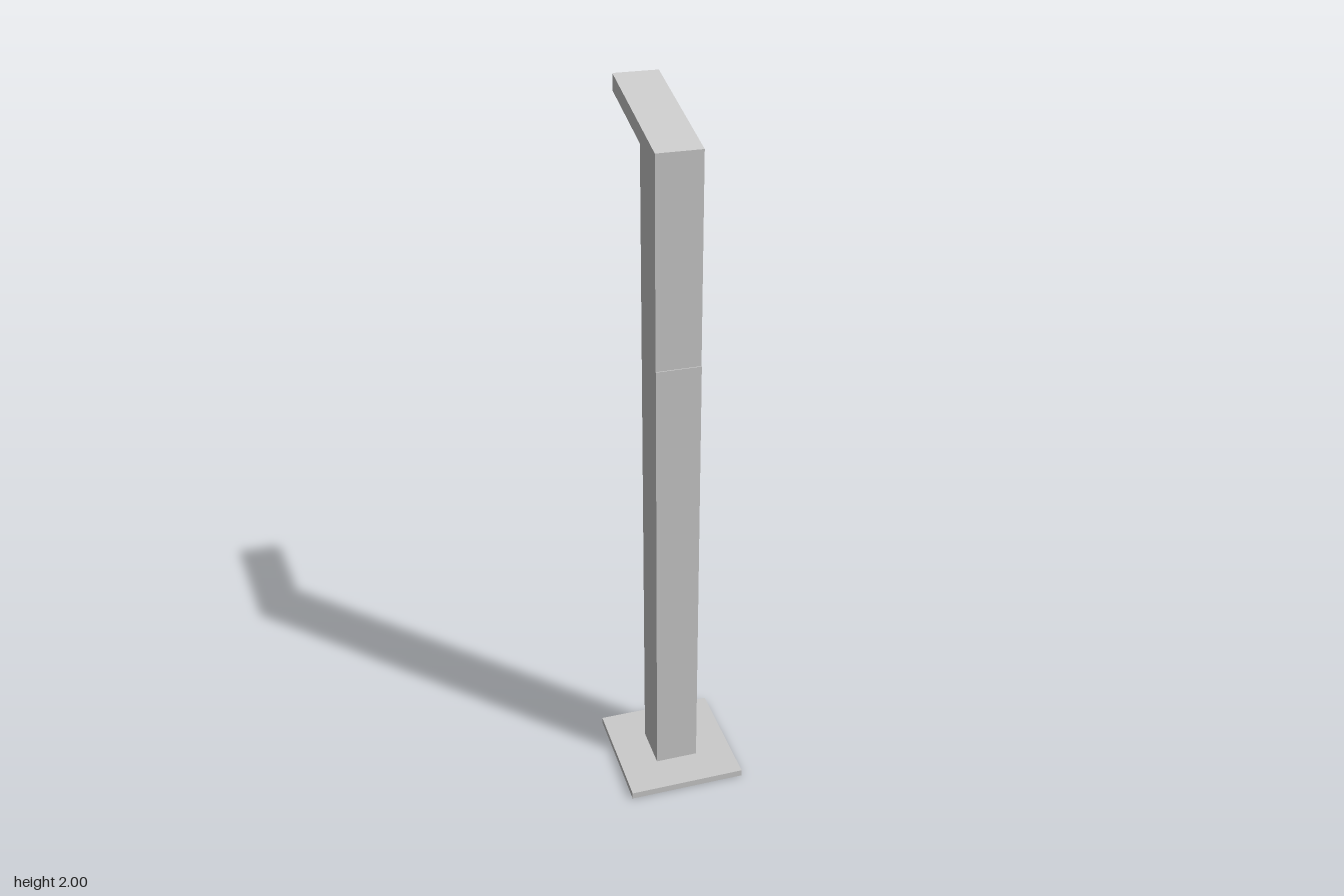
import * as THREE from 'three';
import { mergeGeometries } from 'three/addons/utils/BufferGeometryUtils.js';

const HALF = 0.062;     // half width of post and arm
const BASE_H = 0.02;
const BACK = 0.004, FRONT = 0.135;

// Side profile as [z, y], from the back foot up, round the arm and down the front
const profile = [
  [BACK, BASE_H], [BACK, 1.89], [-0.248, 1.955], [-0.248, 2],
  [0.132, 1.903], [0.132, 1.33], [FRONT, 1.33], [FRONT, BASE_H],
];

// Wall that follows the profile, open at the foot
function profileWall() {
  const g = new THREE.PlaneGeometry(2 * HALF, 1, 1, profile.length - 1);
  const pos = g.attributes.position;
  profile.forEach(([z, y], i) => {
    pos.setXYZ(2 * i, -HALF, y, z);
    pos.setXYZ(2 * i + 1, HALF, y, z);
  });
  return g.toNonIndexed();
}

// Flat cheek on side s (+1 left, -1 right)
function cheek(s) {
  const shape = new THREE.Shape(profile.map(([z, y]) => new THREE.Vector2(-s * z, y)));
  return new THREE.ShapeGeometry(shape).rotateY(s * Math.PI / 2)
    .translate(s * HALF, 0, 0).toNonIndexed();
}

function rect(path, x, z0, z1) {
  return path.moveTo(-x, -z1).lineTo(x, -z1).lineTo(x, -z0).lineTo(-x, -z0).closePath();
}

export function createModel() {
  const model = new THREE.Group();
  model.name = 'bentPost';
  const grey = new THREE.MeshStandardMaterial({
    color: 0xcccccc, flatShading: true, side: THREE.DoubleSide,
  });

  // Hollow post with the slanted arm
  const postGeometry = mergeGeometries([profileWall(), cheek(1), cheek(-1)]);
  postGeometry.computeVertexNormals();
  const post = new THREE.Mesh(postGeometry, grey);
  post.name = 'postAndArm';

  // Foot plate with the square opening under the post
  const plate = rect(new THREE.Shape(), 0.17, -0.106, 0.246);
  plate.holes.push(rect(new THREE.Path(), HALF, BACK, FRONT));
  const base = new THREE.Mesh(
    new THREE.ExtrudeGeometry(plate, { depth: BASE_H, bevelEnabled: false }).rotateX(-Math.PI / 2),
    grey,
  );
  base.name = 'basePlate';

  model.add(post, base);
  return model;
}
